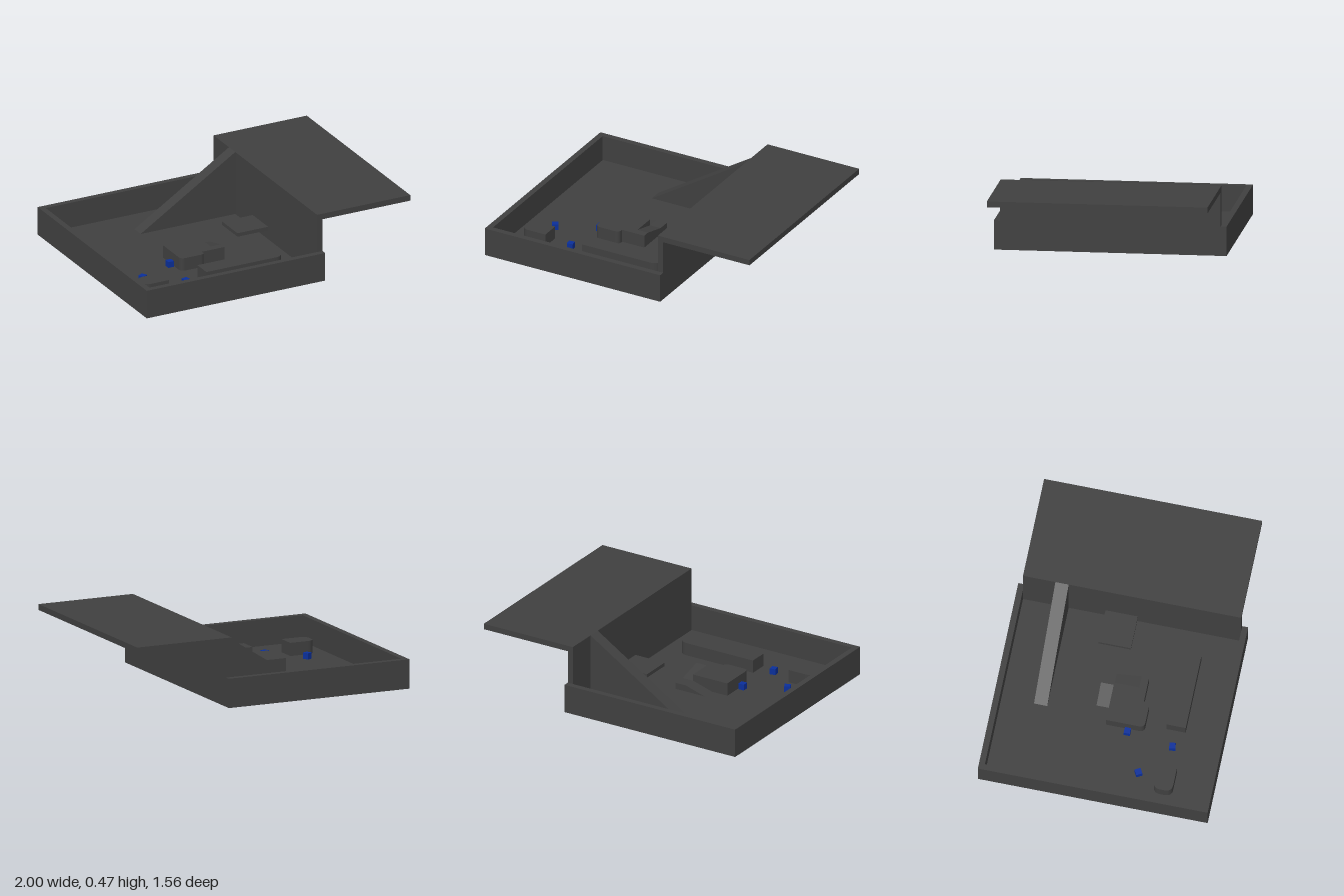
import * as THREE from 'three';

const dark = new THREE.MeshStandardMaterial({ color: 0x404040, flatShading: true });
const blue = new THREE.MeshStandardMaterial({ color: 0x0a2f9a, flatShading: true });
const FLOOR = 0.02, TOP = 0.11;

export function createModel() {
  const model = new THREE.Group();

  const add = (name, geometry, material = dark) => {
    const mesh = new THREE.Mesh(geometry, material);
    mesh.name = name;
    model.add(mesh);
    return mesh;
  };

  // Box given by its two extreme corners
  const box = (name, x0, x1, y0, y1, z0, z1) =>
    add(name, new THREE.BoxGeometry(x1 - x0, y1 - y0, z1 - z0))
      .position.set((x0 + x1) / 2, (y0 + y1) / 2, (z0 + z1) / 2);

  // Side profile in x/y, extruded from z0 to z1
  const profileXY = (name, points, z0, z1) => {
    const shape = new THREE.Shape(points.map(([x, y]) => new THREE.Vector2(x, y)));
    const geo = new THREE.ExtrudeGeometry(shape, { depth: z1 - z0, bevelEnabled: false });
    add(name, geo.translate(0, 0, z0));
  };

  // Side profile in z/y, extruded from x0 to x1
  const profileZY = (name, points, x0, x1) => {
    const shape = new THREE.Shape(points.map(([z, y]) => new THREE.Vector2(-z, y)));
    const geo = new THREE.ExtrudeGeometry(shape, { depth: x1 - x0, bevelEnabled: false });
    add(name, geo.rotateY(Math.PI / 2).translate(x0, 0, 0));
  };

  // Floor plan of [x, z, cornerRadius] points, raised from the floor
  const plan = (name, points, y0 = FLOOR, y1 = TOP) => {
    const shape = new THREE.Shape();
    points.forEach(([x, z, r = 0], i) => {
      const at = (k) => points[(k + points.length) % points.length];
      const p = new THREE.Vector2(x, -z);
      const toward = ([qx, qz]) => new THREE.Vector2(qx, -qz).sub(p).setLength(r).add(p);
      const a = r ? toward(at(i - 1)) : p, b = r ? toward(at(i + 1)) : p;
      if (i === 0) shape.moveTo(a.x, a.y); else shape.lineTo(a.x, a.y);
      if (r) shape.quadraticCurveTo(p.x, p.y, b.x, b.y);
    });
    const geo = new THREE.ExtrudeGeometry(shape, { depth: y1 - y0, bevelEnabled: false, curveSegments: 8 });
    add(name, geo.rotateX(-Math.PI / 2).translate(0, y0, 0));
  };

  // Tray: floor and low walls
  box('trayFloor', -1, 0.34, 0, FLOOR, -0.78, 0.78);
  box('trayEndWall', -1, -0.96, FLOOR, 0.2, -0.74, 0.74);
  box('trayFrontWall', -1, 0.34, FLOOR, 0.2, 0.74, 0.78);
  box('trayBackWall', -1, 0.34, FLOOR, 0.2, -0.78, -0.74);

  // Tall wall with the overhanging deck in one profile
  profileXY('tallWallAndDeck',
    [[0.3, FLOOR], [0.34, FLOOR], [0.34, 0.43], [1, 0.43], [1, 0.47], [0.3, 0.47]], -0.74, 0.74);

  // Long ramp up to the deck
  profileXY('longRamp', [[-0.41, FLOOR], [0.3, FLOOR], [0.3, 0.47]], -0.52, -0.43);

  // Shelf against the tall wall
  box('wallShelf', 0.07, 0.3, 0.085, TOP, -0.18, 0.04);

  // Central platform with its two-flight ramp
  plan('centralPlatform', [[-0.46, -0.02], [-0.46, 0.24, 0.035], [-0.28, 0.24, 0.03],
    [-0.28, 0.2], [-0.19, 0.2], [-0.19, -0.02]]);
  profileXY('lowerRamp', [[-0.34, FLOOR], [-0.11, FLOOR], [-0.11, 0.065], [-0.19, 0.065]], -0.11, -0.02);
  profileZY('upperRamp', [[0.2, FLOOR], [-0.02, FLOOR], [-0.02, 0.065], [0.15, TOP], [0.2, TOP]], -0.19, -0.11);

  // Rounded-end platforms along the front
  plan('longPlatform', [[-0.41, 0.38], [-0.41, 0.51], [0.17, 0.51, 0.06], [0.17, 0.38, 0.06]]);
  plan('shortPlatform', [[-0.87, 0.38, 0.05], [-0.87, 0.51, 0.05], [-0.69, 0.51], [-0.69, 0.38]]);

  // Loose blue cubes
  [[-0.487, 0.13, 0], [-0.757, 0.26, 0.5], [-0.532, 0.445, 0.15]].forEach(([x, z, turn], i) => {
    const cube = add('cube' + (i + 1), new THREE.BoxGeometry(0.042, 0.042, 0.042), blue);
    cube.position.set(x, FLOOR + 0.021, z);
    cube.rotation.y = turn;
  });

  return model;
}
